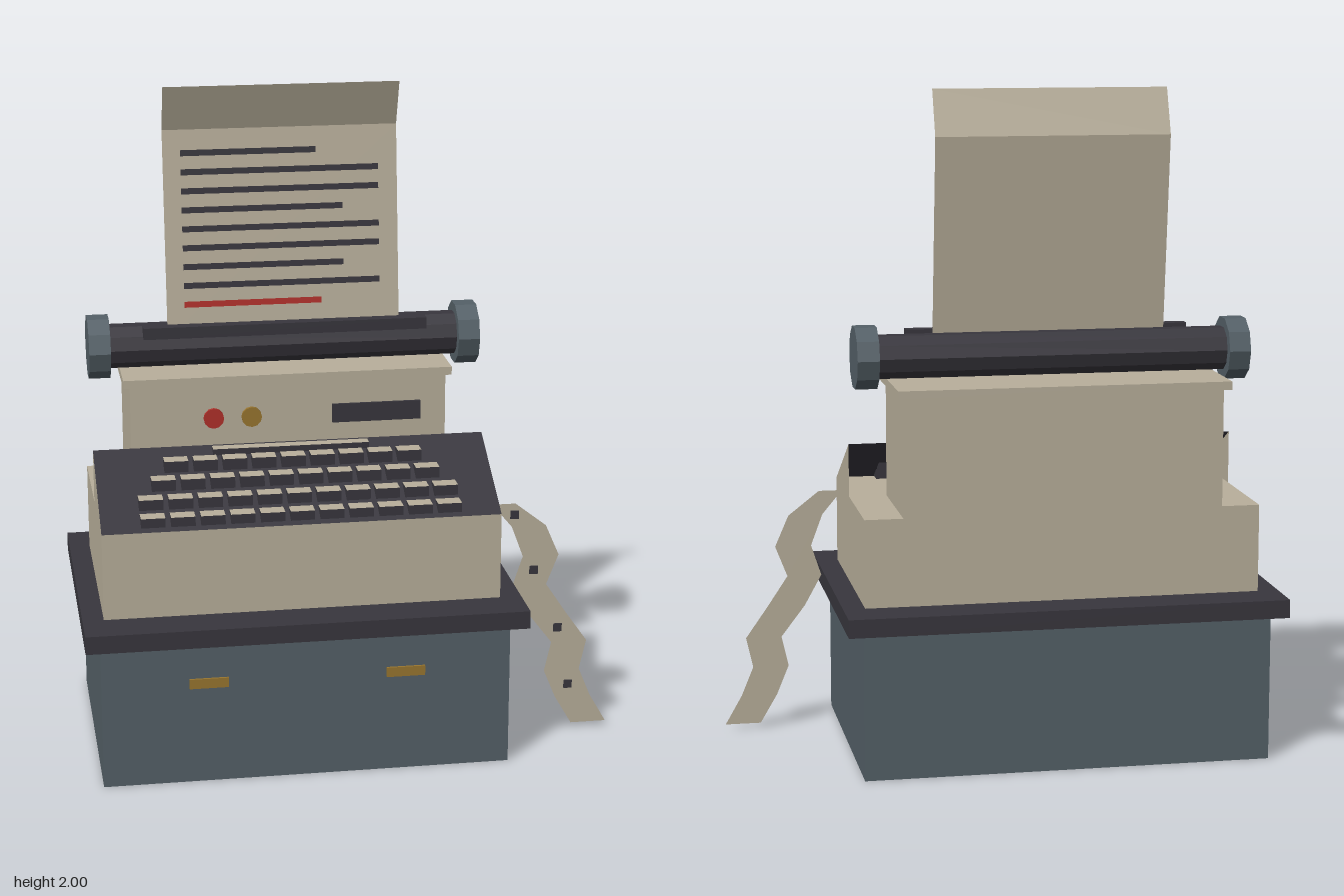
import * as THREE from 'three';

export function createModel() {
  const model = new THREE.Group();
  const mat = (name, color, extra = {}) => {
    const m = new THREE.MeshStandardMaterial({ color, ...extra });
    m.name = name;
    return m;
  };
  const beige = mat('beige', 0xb8af9b, { side: THREE.DoubleSide, flatShading: true });
  const slate = mat('slate', 0x546067, { flatShading: true });
  const dark = mat('charcoal', 0x38363d, { side: THREE.DoubleSide, flatShading: true });
  const red = mat('red', 0xb0302a);
  const gold = mat('gold', 0x98752f);

  const add = (name, geometry, material, x = 0, y = 0, z = 0, parent = model) => {
    const mesh = new THREE.Mesh(geometry, material);
    mesh.name = name;
    mesh.position.set(x, y, z);
    parent.add(mesh);
    return mesh;
  };
  // Box given by its limits on each axis
  const block = (name, material, [x0, x1], [y0, y1], [z0, z1], parent = model) =>
    add(name, new THREE.BoxGeometry(x1 - x0, y1 - y0, z1 - z0), material,
      (x0 + x1) / 2, (y0 + y1) / 2, (z0 + z1) / 2, parent);
  // Flat sheet running from (y0, z0) up to (y1, z1)
  const sheet = (name, material, [x0, x1], [y0, z0], [y1, z1]) => {
    const mesh = add(name, new THREE.PlaneGeometry(x1 - x0, Math.hypot(y1 - y0, z1 - z0)), material,
      (x0 + x1) / 2, (y0 + y1) / 2, (z0 + z1) / 2);
    mesh.rotation.x = Math.atan2(z1 - z0, y1 - y0);
    return mesh;
  };
  // Ten-sided cylinder lying along x
  const rod = (name, material, r, x0, x1) => {
    const mesh = add(name, new THREE.CylinderGeometry(r, r, x1 - x0, 10), material,
      (x0 + x1) / 2, 1.213, -0.115);
    mesh.rotation.z = Math.PI / 2;
  };

  // Desk: four walls open underneath, with a slab on top
  const desk = new THREE.Group();
  desk.name = 'desk';
  model.add(desk);
  const t = 0.01;
  for (const s of [-1, 1]) {
    const zs = s < 0 ? [-0.405, -0.405 + t] : [0.405 - t, 0.405];
    const xs = s < 0 ? [-0.77, -0.77 + t] : [0.455 - t, 0.455];
    block('deskWall', slate, [-0.77, 0.455], [0, 0.445], zs, desk);
    block('deskSide', slate, xs, [0, 0.445], [-0.405 + t, 0.405 - t], desk);
  }
  block('deskTop', dark, [-0.815, 0.505], [0.445, 0.5], [-0.452, 0.452], desk);
  for (const x of [-0.452, 0.138])
    block('drawerHandle', gold, [x - 0.058, x + 0.058], [0.3, 0.33], [0.405, 0.412], desk);

  // Machine housing
  block('lowerHousing', beige, [-0.752, 0.44], [0.5, 0.765], [-0.325, 0.325]);
  block('upperHousing', beige, [-0.637, 0.325], [0.765, 1.12], [-0.325, 0.02]);
  block('lid', beige, [-0.657, 0.341], [1.12, 1.145], [-0.345, 0.038]);

  // Sloping keyboard deck between triangular cheeks
  sheet('keyboardDeck', dark, [-0.752, 0.44], [0.765, 0.325], [0.927, 0.02]);
  const cheek = new THREE.Shape([
    new THREE.Vector2(-0.325, 0.765), new THREE.Vector2(-0.02, 0.765), new THREE.Vector2(-0.02, 0.927),
  ]);
  for (const x of [-0.752, 0.44])
    add('cheek', new THREE.ShapeGeometry(cheek), beige, x).rotation.y = Math.PI / 2;

  // Keys: dark sides with light tops
  const keyMaterials = [dark, dark, beige, dark, dark, dark];
  const keys = new THREE.Group();
  keys.name = 'keys';
  model.add(keys);
  const rows = [[9, 0.096, 0.912], [10, 0.157, 0.875], [11, 0.223, 0.838], [11, 0.285, 0.802]];
  for (const [count, z, top] of rows)
    for (let i = 0; i < count; i++) {
      const x = -0.156 + (i - (count - 1) / 2) * 0.0885;
      block('key', keyMaterials, [x - 0.036, x + 0.036], [top - 0.034, top], [z - 0.024, z + 0.024], keys);
    }
  block('spaceBar', keyMaterials, [-0.393, 0.083], [0.893, 0.925], [0.02, 0.06], keys);

  // Front panel details
  for (const [name, material, x] of [['redButton', red, -0.386], ['goldButton', gold, -0.271]])
    add(name, new THREE.CylinderGeometry(0.031, 0.031, 0.012, 12), material, x, 1.012, 0.025)
      .rotation.x = Math.PI / 2;
  block('panelSlot', dark, [-0.024, 0.247], [0.982, 1.04], [0.02, 0.028]);

  // Carriage
  rod('roller', dark, 0.067, -0.69, 0.38);
  rod('rightKnob', slate, 0.0965, -0.752, -0.687);
  rod('leftKnob', slate, 0.0965, 0.374, 0.44);
  block('paperBar', dark, [-0.587, 0.275], [1.25, 1.285], [-0.068, -0.03]);

  // Paper leaning back, with its top folded forward
  const paperX = [-0.511, 0.198];
  sheet('paper', beige, paperX, [1.24, -0.08], [1.862, -0.15]);
  sheet('paperFold', beige, paperX, [1.862, -0.15], [2, -0.097]);
  const lineEnds = [-0.05, 0.14, 0.14, 0.03, 0.14, 0.14, 0.03, 0.14, -0.04];
  lineEnds.forEach((end, i) => {
    const y = 1.793 - i * 0.0567;
    const z = (h) => -0.076 - (h - 1.24) * 0.1125;
    const material = i === lineEnds.length - 1 ? red : dark;
    sheet('textLine', material, [-0.458, end], [y - 0.009, z(y - 0.009)], [y + 0.009, z(y + 0.009)]);
  });

  // Wavy punched tape hanging off the side: y, left edge, right edge
  const tape = [
    [0.75, 0.44, 0.512], [0.675, 0.502, 0.608], [0.578, 0.538, 0.65], [0.483, 0.507, 0.613],
    [0.387, 0.56, 0.677], [0.29, 0.634, 0.745], [0.196, 0.613, 0.724], [0.106, 0.65, 0.761],
    [0.015, 0.703, 0.813],
  ];
  const outline = [
    ...tape.map(([y, l]) => new THREE.Vector2(l, y)),
    ...[...tape].reverse().map(([y, , r]) => new THREE.Vector2(r, y)),
  ];
  add('tape', new THREE.ShapeGeometry(new THREE.Shape(outline)), beige, 0, 0, 0.195);
  for (const [x, y] of [[0.509, 0.715], [0.572, 0.533], [0.652, 0.339], [0.689, 0.148]])
    block('tapeMark', dark, [x - 0.013, x + 0.013], [y - 0.013, y + 0.013], [0.196, 0.2]);

  return model;
}
